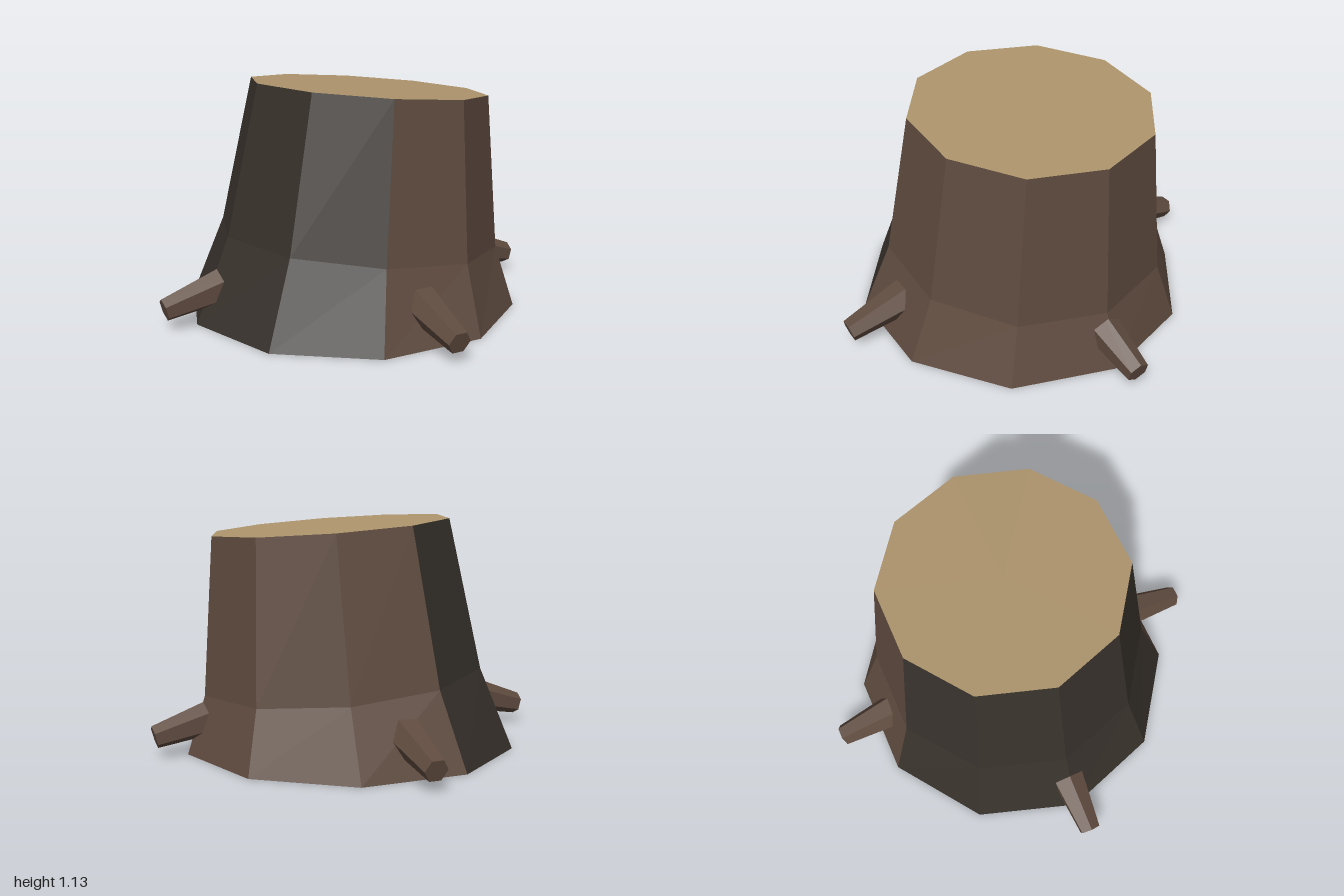
import * as THREE from 'three';

const flat = (name, color) => {
  const m = new THREE.MeshStandardMaterial({ color, flatShading: true });
  m.name = name;
  return m;
};

const SIDES = 10;

// Ring levels of the leaning trunk: centre x, radius, height, and tilt along x
const levels = [
  { cx: 0, r: 0.828, y: 0, tilt: 0 },
  { cx: 0.04, r: 0.7, y: 0.345, tilt: -0.093 },
  { cx: 0.1, r: 0.592, y: 1.085, tilt: -0.077 },
];

function ringPoint({ cx, r, y, tilt }, i) {
  const a = (i / SIDES) * Math.PI * 2;
  const dx = r * Math.cos(a);
  return [cx + dx, y + tilt * dx, r * Math.sin(a)];
}

function geometryFrom(points) {
  const g = new THREE.BufferGeometry();
  g.setAttribute('position', new THREE.Float32BufferAttribute(points.flat(), 3));
  g.computeVertexNormals();
  return g;
}

// Bark panels for the chosen sides, over both bands of the trunk
function barkPanels(sides) {
  const points = [];
  for (const i of sides) {
    for (let k = 0; k < levels.length - 1; k++) {
      const a = ringPoint(levels[k], i), b = ringPoint(levels[k], i + 1);
      const c = ringPoint(levels[k + 1], i), d = ringPoint(levels[k + 1], i + 1);
      points.push(b, a, c, b, c, d);
    }
  }
  return geometryFrom(points);
}

// Flat cap closing one ring
function cap(level, up) {
  const points = [];
  for (let i = 0; i < SIDES; i++) {
    const a = ringPoint(level, i), b = ringPoint(level, i + 1);
    points.push([level.cx, level.y, 0], ...(up ? [b, a] : [a, b]));
  }
  return geometryFrom(points);
}

export function createModel() {
  const bark = flat('bark', 0x5f4b3f);
  const darkBark = flat('dark bark', 0x37312b);
  const wood = flat('cut wood', 0xad946c);

  const model = new THREE.Group();
  model.name = 'treeStump';
  const add = (name, geometry, material) => {
    const mesh = new THREE.Mesh(geometry, material);
    mesh.name = name;
    model.add(mesh);
    return mesh;
  };

  // Trunk, with darker bark on the right-hand side
  add('trunkBark', barkPanels([0, 1, 2, 7, 8, 9]), bark);
  add('trunkDarkBark', barkPanels([3, 4, 5, 6]), darkBark);
  add('cutTop', cap(levels[2], true), wood);
  add('underside', cap(levels[0], false), bark);

  // Four tapered six-sided roots sloping down and outwards
  const tilt = THREE.MathUtils.degToRad(15), length = 0.36;
  ['frontRoot', 'leftRoot', 'backRoot', 'rightRoot'].forEach((name, k) => {
    const g = new THREE.CylinderGeometry(0.056, 0.094, length, 6);
    if (k % 2 === 0) g.rotateY(Math.PI / 6);
    g.rotateX(Math.PI / 2 + tilt);
    g.translate(0, 0.1 + (length / 2) * Math.sin(tilt), 0.985 - (length / 2) * Math.cos(tilt));
    g.rotateY((k * Math.PI) / 2);
    add(name, g, bark);
  });

  return model;
}
